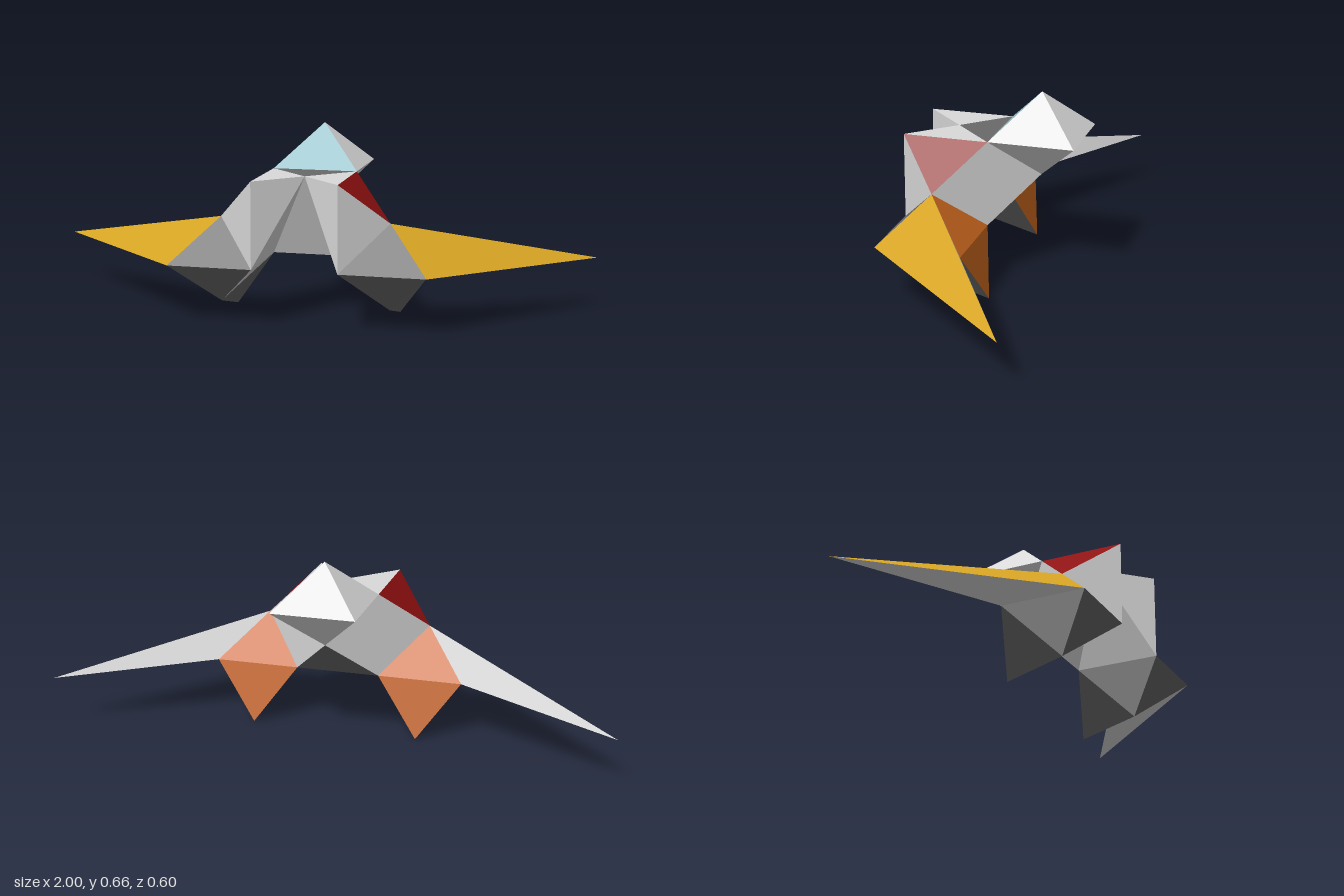
import * as THREE from 'three';

const mat = (name, color) => {
  const m = new THREE.MeshStandardMaterial({ color });
  m.name = name;
  return m;
};

// Key levels of the half-octahedron grid the craft is folded from
const MID = 0.03, H = 0.15;
const POD_BOTTOM = 0.055, LOW = 0.205, MIDDLE = 0.357, DECK = 0.508, PEAK = 0.658;
const FRONT = 0.302, CENTRE = 0.15, BACK = 0, TAIL = -0.302;

export function createModel() {
  const grey = mat('light grey', 0xd9d9d9);
  const dark = mat('dark grey', 0x696969);
  const red = mat('dark red', 0x8f1010);
  const gold = mat('gold', 0xd6a424);
  const orange = mat('orange', 0xc2621c);
  const blue = mat('pale blue glass', 0x94bec7);

  const root = new THREE.Group();
  root.name = 'foldedFlyer';

  // A faceted solid: faces are [material, a, b, c], each turned away from the solid's centre
  function solid(name, parent, faces) {
    const group = new THREE.Group();
    group.name = name;
    const points = faces.flatMap((f) => f.slice(1));
    const centre = points.reduce((s, p) => s.add(p), new THREE.Vector3()).divideScalar(points.length);
    const byMaterial = new Map();
    for (const [material, a, b, c] of faces) {
      const normal = b.clone().sub(a).cross(c.clone().sub(a));
      const tri = normal.dot(a.clone().sub(centre)) > 0 ? [a, b, c] : [a, c, b];
      byMaterial.set(material, [...(byMaterial.get(material) || []), ...tri]);
    }
    for (const [material, tris] of byMaterial) {
      const geometry = new THREE.BufferGeometry().setFromPoints(tris);
      geometry.computeVertexNormals();
      const mesh = new THREE.Mesh(geometry, material);
      mesh.name = `${name} ${material.name}`;
      group.add(mesh);
    }
    parent.add(group);
  }

  // Point at an offset from the centre line
  const P = (x, y, z) => new THREE.Vector3(MID + x, y, z);

  // Cockpit: double pyramid with a glass front
  const peak = P(0, PEAK, -CENTRE), keel = P(0, MIDDLE, -CENTRE);
  const ring = [P(-H, DECK, BACK), P(H, DECK, BACK), P(H, DECK, TAIL), P(-H, DECK, TAIL)];
  const cockpit = [];
  ring.forEach((a, i) => {
    const b = ring[(i + 1) % 4];
    cockpit.push([i === 0 ? blue : grey, a, b, peak], [grey, a, b, keel]);
  });
  solid('cockpit', root, cockpit);

  // Central block: rear pyramid and forward wedge
  const nose = P(0, DECK, CENTRE);
  const [tl, tr] = ring, bl = P(-H, LOW, BACK), br = P(H, LOW, BACK);
  solid('centralBody', root, [
    [dark, tl, tr, nose], [grey, bl, br, nose],
    [grey, tl, bl, keel], [grey, tr, br, keel], [dark, bl, br, keel],
  ]);

  for (const s of [1, -1]) {
    const side = new THREE.Group();
    side.name = s > 0 ? 'leftSide' : 'rightSide';
    root.add(side);
    const Q = (x, y, z) => P(s * x, y, z);
    const topF = Q(H, DECK, FRONT), topB = Q(H, DECK, BACK);
    const inF = Q(H, LOW, FRONT), inB = Q(H, LOW, BACK);
    const outF = Q(3 * H, LOW, FRONT), outB = Q(3 * H, LOW, BACK);
    const shoulder = Q(2 * H, MIDDLE, CENTRE), foot = Q(2 * H, POD_BOTTOM, CENTRE);
    const exhaust = Q(2 * H, 0, -0.052), tip = new THREE.Vector3(s, 0.183, -0.288);

    // Block linking the centre to the shoulder
    solid('shoulder', side, [
      [grey, topF, topB, nose], [grey, topF, inF, nose], [grey, inF, inB, nose],
      [red, topF, topB, shoulder], [grey, topF, inF, shoulder], [grey, topB, inB, shoulder],
    ]);

    // Hanging double-pyramid pod
    solid('pod', side, [
      [dark, inF, outF, shoulder], [orange, inB, outB, shoulder],
      [grey, inF, inB, shoulder], [grey, outF, outB, shoulder],
      [dark, inF, outF, foot], [grey, inF, inB, foot], [grey, outF, outB, foot],
    ]);

    // Thruster behind the pod
    solid('thruster', side, [
      [orange, inB, outB, exhaust], [dark, inB, foot, exhaust],
      [dark, outB, foot, exhaust], [dark, inB, outB, foot],
    ]);

    // Swept wing
    solid('wing', side, [
      [gold, outF, shoulder, tip], [grey, outB, shoulder, tip],
      [grey, outF, outB, tip], [grey, outF, outB, shoulder],
    ]);
  }
  return root;
}
